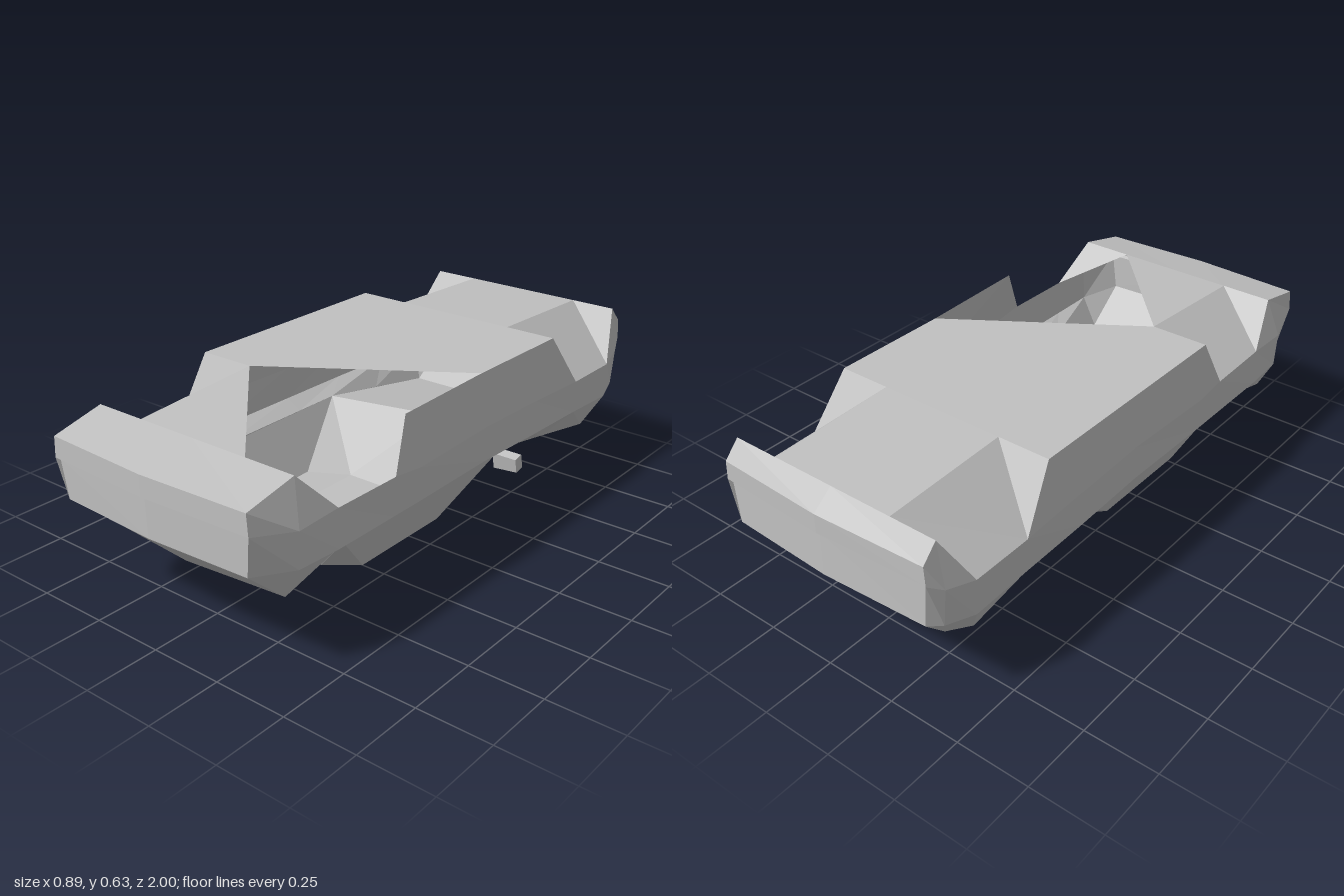
import * as THREE from 'three';

const CX = -0.01; // the hull sits slightly off centre because of the side knob

// Flat polygons (fans) collected into one facetted mesh
function facetMesh(name, polygons, material) {
  const pos = [];
  for (const p of polygons) {
    for (let i = 1; i < p.length - 1; i++) {
      const t = [p[0], p[i], p[i + 1]].map((v) => new THREE.Vector3(...v));
      if (new THREE.Triangle(...t).getArea() < 1e-6) continue;
      t.forEach((v) => pos.push(v.x + CX, v.y, v.z));
    }
  }
  const g = new THREE.BufferGeometry();
  g.setAttribute('position', new THREE.Float32BufferAttribute(pos, 3));
  g.computeVertexNormals();
  const mesh = new THREE.Mesh(g, material);
  mesh.name = name;
  return mesh;
}

const flip = (v) => [-v[0], v[1], v[2]];
const mirrored = (polys) => polys.map((p) => p.map(flip).reverse());
const both = (polys) => [...polys, ...mirrored(polys)];

// Quads between two rows that run from front to back
const strip = (a, b) => a.slice(1).map((_, i) => [a[i], b[i], b[i + 1], a[i + 1]]);

export function createModel() {
  const group = new THREE.Group();
  const grey = new THREE.MeshStandardMaterial({ color: 0xc0c0c0, flatShading: true, side: THREE.DoubleSide });
  grey.name = 'hull grey';
  const add = (name, polys) => group.add(facetMesh(name, polys, grey));

  // Rows of the +x half, front to back: top edge, waist, seam, lower edge
  const E = [[.385, .56, .98], [.39, .6, .8], [.43, .465, .67], [.435, .465, .42], [.41, .63, .345], [.4, .63, -.06],
    [.405, .63, -.48], [.432, .44, -.61], [.432, .44, -.83], [.385, .615, -.93], [.385, .56, -.982]];
  const W = [[.39, .49, .98], [.43, .46, .83], E[2], E[3], [.435, .45, .3], [.422, .45, -.06],
    [.43, .45, -.35], E[7], E[8], [.41, .46, -.93], [.39, .495, -.982]];
  const S = [[.365, .355, .965], [.425, .34, .83], [.43, .335, .67], [.43, .335, .42], [.43, .335, .3], [.425, .335, -.06],
    [.43, .33, -.35], [.43, .325, -.61], [.428, .315, -.83], [.4, .33, -.93], [.37, .34, -.972]];
  const L = [S[0], [.37, .235, .83], [.37, .295, .58], [.37, .3, .42], [.37, .3, .3], [.37, .3, -.06],
    [.37, .3, -.24], [.37, .255, -.5], [.37, .205, -.78], [.37, .27, -.9], S[10]];
  add('sideWalls', both([...strip(E, W), ...strip(W, S)]));
  add('lowerSides', both(strip(S, L)));

  // Front and rear bumpers, bowed at the centre line, with a thin groove
  const bumper = (i, dir) => {
    const rim = [E[i], W[i], [.385, W[i][1] - .006, W[i][2] - dir * .013], S[i]];
    const mid = rim.map((v) => [0, v[1], v[2] + dir * .018]);
    const polys = [...strip(mid, rim), [rim[1], rim[2], rim[3]]];
    return both(dir > 0 ? polys.map((p) => [...p].reverse()).map((p) => p.reverse()) : polys.map((p) => [...p].reverse()));
  };
  add('frontBumper', bumper(0, 1));
  add('rearBumper', bumper(10, -1));

  // Inner corners of the sloped cut-outs in the deck
  const I1 = [.21, .6, .8], I4 = [.21, .63, .345], I6 = [.222, .63, -.48], I9 = [.222, .615, -.93];
  add('bumperTops', both([
    [[0, .6, .8], [0, .56, .998], E[0], E[1], I1],
    [[0, .56, -1], [0, .615, -.93], I9, E[9], E[10]],
  ]));
  add('rearCutouts', both([
    [I6, E[7], E[8], I9], [I6, E[6], E[7]], [E[8], E[9], I9],
    [[0, .63, -.48], I6, I9, [0, .615, -.93]],
  ]));
  add('frontCutoutEnds', both([[I1, E[1], E[2]]].map((p) => [...p].reverse())));

  // The front cut-out is floored on the -x side only; the other side opens into the hull
  add('frontCutout', mirrored([[I1, E[2], E[3], I4], [E[3], E[4], I4]]));
  add('frontDeck', [[flip(I1), I1, flip(I4)]]);
  add('topDeck', [[flip(E[6]), flip(E[4]), flip(I4), E[5], E[6], I6, flip(I6)]]);

  // Underside: two arches and the faceted belly between them
  const M = [[0, .355, .983], [0, .225, .85], [0, .285, .66]];
  const rear = [[0, .275, -.38], [0, .205, -.78], [0, .34, -.99]];
  const kf = [.168, .09, .45], kfo = [.285, .105, .39], kro = [.285, .105, 0], kr = [.168, .09, -.1];
  const c0 = [0, .09, .45], c1 = [0, .09, -.1];
  add('frontUnderside', both(strip(L.slice(0, 3), M)));
  add('rearUnderside', both([
    [L[7], L[6], rear[0], rear[1], L[8]],
    [L[9], L[8], rear[1], rear[2], L[10]],
  ]));
  add('belly', both([
    [L[2], M[2], c0, kf], [L[2], kf, kfo],
    [kfo, kro, L[6], L[5], L[4], L[3], L[2]],
    [L[6], kro, kr], [L[6], kr, c1, rear[0]],
    [c0, c1, kr, kro, kfo, kf],
  ]));

  // Tapered foot under the belly
  const smooth = new THREE.MeshStandardMaterial({ color: 0xc0c0c0 });
  smooth.name = 'foot grey';
  const foot = new THREE.Mesh(new THREE.CylinderGeometry(.074, .047, .092, 32), smooth);
  foot.position.set(0, .046, .205);
  foot.name = 'foot';
  group.add(foot);

  // Small knob on the side
  const knobGeometry = new THREE.BoxGeometry(.09, .05, .036);
  const p = knobGeometry.attributes.position;
  for (let i = 0; i < p.count; i++) if (p.getX(i) < 0 && p.getY(i) < 0) p.setY(i, -.034);
  knobGeometry.computeVertexNormals();
  const knob = new THREE.Mesh(knobGeometry, grey);
  knob.position.set(.4, .275, -.22);
  knob.rotation.x = .2;
  knob.name = 'sideKnob';
  group.add(knob);

  return group;
}
